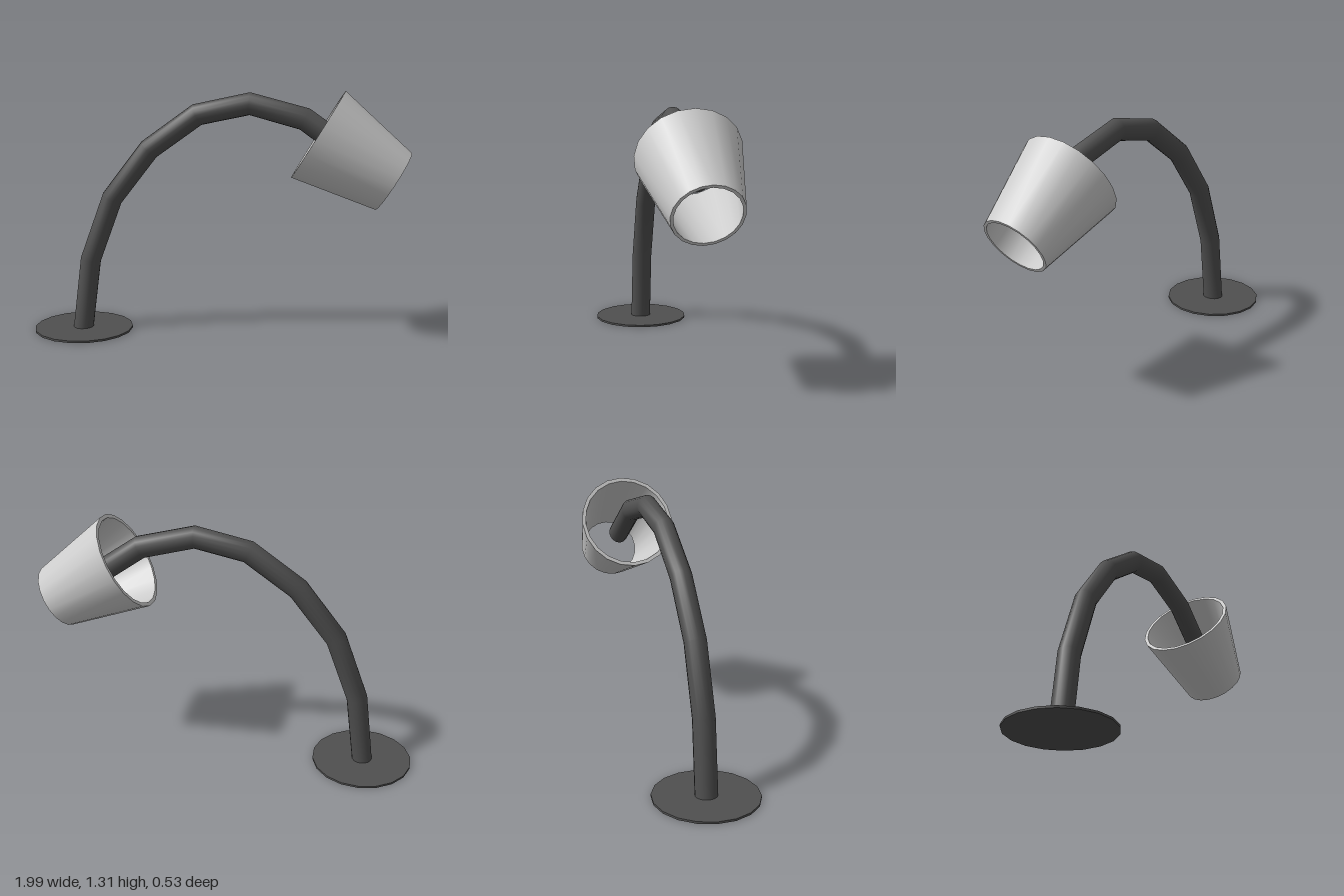
import * as THREE from 'three';
import { toCreasedNormals } from 'three/addons/utils/BufferGeometryUtils.js';

const CREASE = 0.65;

// Curved tube through the given centre points, with mitred joints and a capped end
function bentTube(path, sides) {
  const pts = path.map(([x, y]) => new THREE.Vector3(x, y, 0));
  const last = pts.length - 1;
  const pos = [], index = [];
  pts.forEach((p, i) => {
    const t = new THREE.Vector3();
    if (i === 0) t.set(0, 1, 0);
    else {
      t.subVectors(p, pts[i - 1]).normalize();
      if (i < last) t.add(pts[i + 1].clone().sub(p).normalize()).normalize();
    }
    const k = i / last;
    const rIn = 0.054 + 0.006 * k, rZ = 0.057 - 0.004 * k;
    for (let j = 0; j < sides; j++) {
      const a = (j / sides) * Math.PI * 2;
      const c = Math.cos(a) * rIn;
      pos.push(p.x - t.y * c, p.y + t.x * c, Math.sin(a) * rZ);
    }
  });
  for (let i = 0; i < last; i++) {
    for (let j = 0; j < sides; j++) {
      const a = i * sides + j, b = i * sides + (j + 1) % sides;
      index.push(a, b, a + sides, b, b + sides, a + sides);
    }
  }
  // end cap
  const centre = pos.length / 3;
  pos.push(pts[last].x, pts[last].y, 0);
  for (let j = 0; j < sides; j++) {
    index.push(centre, last * sides + j, last * sides + (j + 1) % sides);
  }
  const g = new THREE.BufferGeometry();
  g.setAttribute('position', new THREE.Float32BufferAttribute(pos, 3));
  g.setIndex(index);
  return toCreasedNormals(g, CREASE);
}

export function createModel() {
  const lamp = new THREE.Group();
  lamp.name = 'deskLamp';
  const dark = new THREE.MeshStandardMaterial({ color: 0x505050 });
  const grey = new THREE.MeshStandardMaterial({ color: 0xcccccc });

  const add = (name, geometry, material) => {
    const mesh = new THREE.Mesh(geometry, material);
    mesh.name = name;
    lamp.add(mesh);
    return mesh;
  };

  // Thin round foot
  add('base', new THREE.CylinderGeometry(0.266, 0.266, 0.011, 18), dark)
    .position.set(-0.737, 0.0055, 0);

  // Arched arm, ending inside the shade
  add('arm', bentTube([
    [-0.74, 0.006], [-0.69, 0.39], [-0.564, 0.73], [-0.36, 0.995],
    [-0.104, 1.18], [0.17, 1.24], [0.452, 1.166], [0.715, 0.98],
  ], 16), dark);

  // Tapered shade open at both ends, with wall thickness
  const wide = new THREE.Vector3(0.521, 1.088, 0);
  const narrow = new THREE.Vector3(0.906, 0.856, 0);
  const axis = narrow.clone().sub(wide);
  const h = axis.length();
  const profile = [[0.26, 0], [0.171, h], [0.156, h], [0.24, 0], [0.26, 0]]
    .map(([r, y]) => new THREE.Vector2(r, y));
  const shade = add('shade', toCreasedNormals(new THREE.LatheGeometry(profile, 20), CREASE), grey);
  shade.position.copy(wide);
  shade.quaternion.setFromUnitVectors(new THREE.Vector3(0, 1, 0), axis.normalize());

  return lamp;
}
